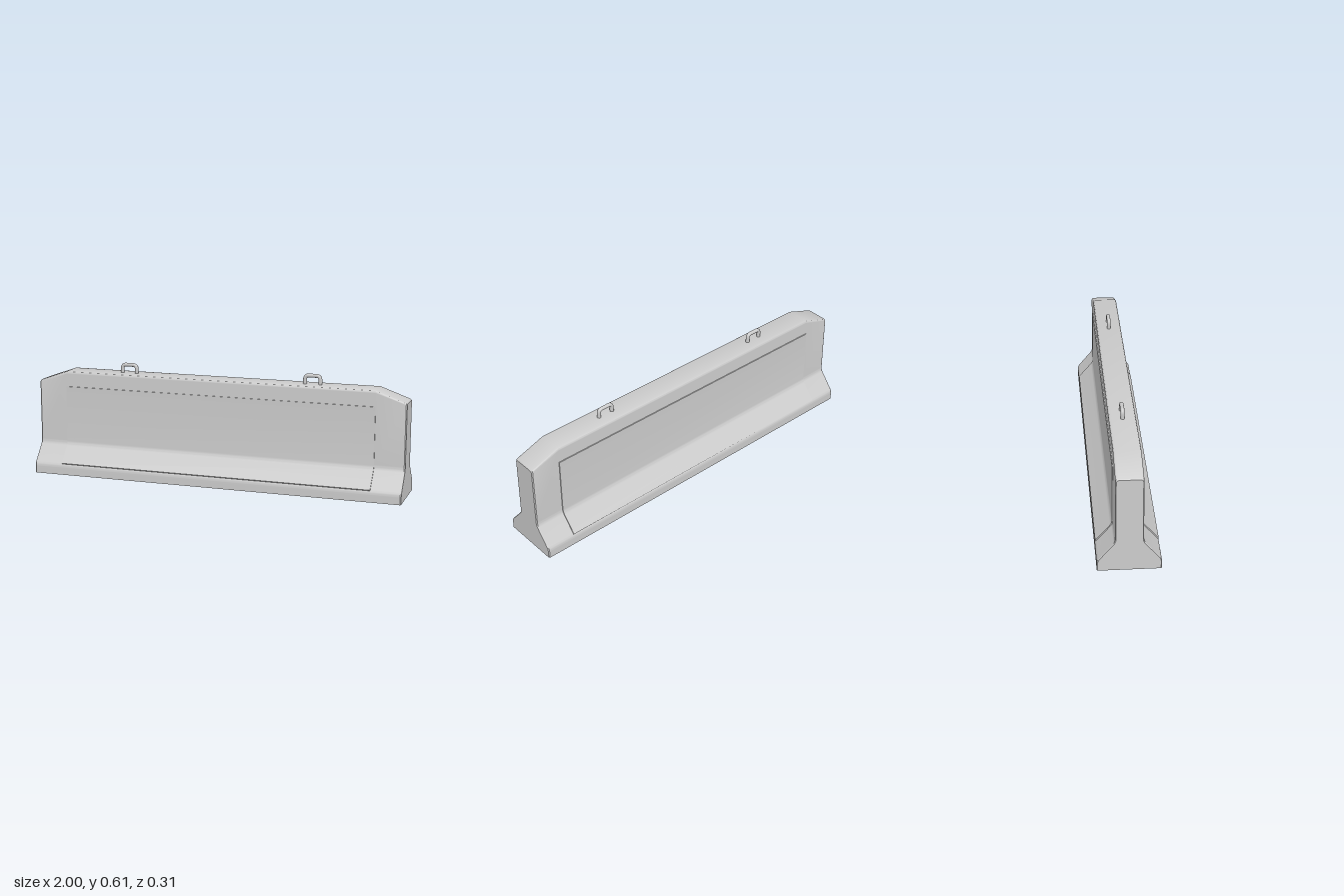
import * as THREE from 'three';
import { toCreasedNormals } from 'three/addons/utils/BufferGeometryUtils.js';

const material = new THREE.MeshStandardMaterial({ color: 0xcccccc });

// Closed shape from corners [x, y, radius], with rounded corners
function roundedShape(corners) {
  const shape = new THREE.Shape();
  const n = corners.length;
  corners.forEach(([x, y, r = 0], i) => {
    const p = new THREE.Vector2(x, y);
    const toward = (j) => {
      const q = new THREE.Vector2(corners[j][0], corners[j][1]);
      return q.sub(p).setLength(r).add(p);
    };
    const a = toward((i + n - 1) % n);
    const b = toward((i + 1) % n);
    if (i === 0) shape.moveTo(a.x, a.y);
    else shape.lineTo(a.x, a.y);
    if (r > 0) shape.quadraticCurveTo(x, y, b.x, b.y);
  });
  shape.closePath();
  return shape;
}

// Extrudes a (z, y) section along x, centred on x = 0
function extrudeAlongX(shape, length, steps = 1) {
  const geo = new THREE.ExtrudeGeometry(shape, {
    depth: length, steps, bevelEnabled: false, curveSegments: 6,
  });
  geo.translate(0, 0, -length / 2);
  geo.rotateY(-Math.PI / 2);
  geo.scale(1, 1, 1);
  return geo;
}

function addMesh(parent, geo, name) {
  const mesh = new THREE.Mesh(geo, material);
  mesh.name = name;
  parent.add(mesh);
  return mesh;
}

// Barrier body: flared foot, straight wall, sloping top at both ends
function bodyGeometry() {
  const half = [
    [0.153, 0, 0], [0.153, 0.052, 0.014], [0.067, 0.155, 0.018], [0.066, 0.552, 0.014],
  ];
  const mirrored = half.map(([z, y, r]) => [-z, y, r]).reverse();
  const geo = extrudeAlongX(roundedShape([...half, ...mirrored]), 2, 5);
  const stations = [-1, -0.995, -0.84, 0.84, 0.995, 1];
  const drops = [0.06, 0.055, 0, 0, 0.055, 0.06];
  const pos = geo.attributes.position;
  for (let i = 0; i < pos.count; i++) {
    const s = Math.round((pos.getX(i) + 1) / 0.4);
    const y = pos.getY(i);
    const z = pos.getZ(i);
    pos.setX(i, stations[s]);
    if (y > 0.4) pos.setY(i, y - drops[s]);
    // slim chamfer around the end faces
    if (s === 0 || s === 5) pos.setZ(i, z - Math.sign(z) * 0.004);
  }
  return toCreasedNormals(geo, 0.55);
}

// Thin raised panel that follows the wall and the flare
function panelGeometry() {
  const shape = roundedShape([
    [0.152, 0.063], [0.071, 0.158, 0.018], [0.071, 0.469], [0.05, 0.469],
    [0.05, 0.15], [0.14, 0.055], [0.147, 0.058],
  ]);
  return toCreasedNormals(extrudeAlongX(shape, 1.686), 0.55);
}

// Bent-bar lifting loop
function loopGeometry() {
  const w = 0.04, top = 0.595, r = 0.02, foot = 0.53;
  const v = (x, y) => new THREE.Vector3(x, y, 0);
  const path = new THREE.CurvePath();
  path.add(new THREE.LineCurve3(v(-w, foot), v(-w, top - r)));
  path.add(new THREE.QuadraticBezierCurve3(v(-w, top - r), v(-w, top), v(-w + r, top)));
  path.add(new THREE.LineCurve3(v(-w + r, top), v(w - r, top)));
  path.add(new THREE.QuadraticBezierCurve3(v(w - r, top), v(w, top), v(w, top - r)));
  path.add(new THREE.LineCurve3(v(w, top - r), v(w, foot)));
  return new THREE.TubeGeometry(path, 40, 0.01, 12, false);
}

export function createModel() {
  const model = new THREE.Group();
  model.name = 'concreteBarrier';

  addMesh(model, bodyGeometry(), 'barrierBody');

  const panel = panelGeometry();
  addMesh(model, panel, 'frontPanel');
  addMesh(model, panel, 'backPanel').rotation.y = Math.PI;

  const loop = loopGeometry();
  for (const side of [-1, 1]) {
    addMesh(model, loop, side < 0 ? 'rightLiftingLoop' : 'leftLiftingLoop').position.x = side * 0.502;
  }
  return model;
}
